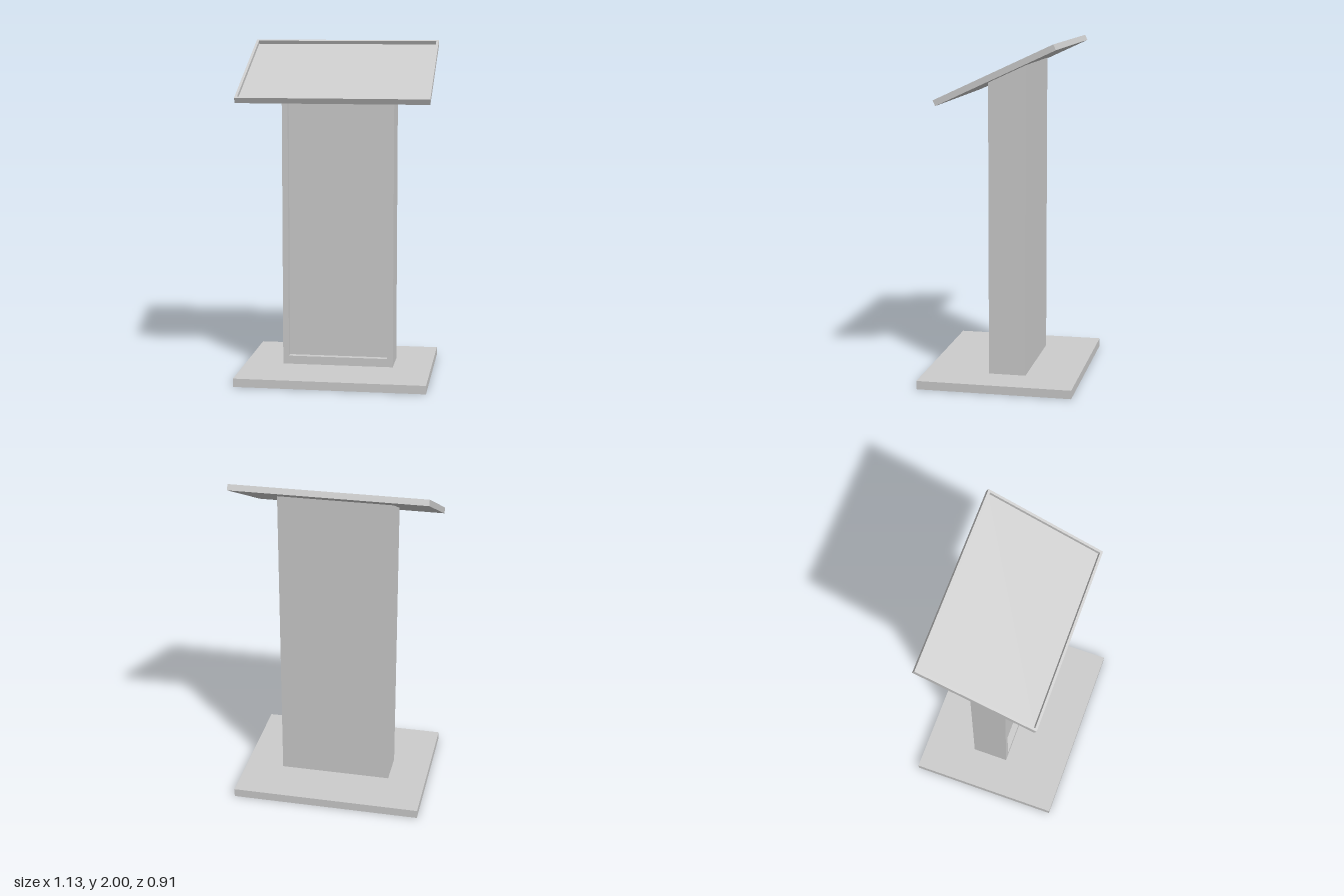
import * as THREE from 'three';

const material = new THREE.MeshStandardMaterial({ color: 0xcccccc });
const TILT = THREE.MathUtils.degToRad(25);
const DESK = { y: 1.826, z: -0.008, width: 1.13, length: 0.753, thickness: 0.035 };

// Height of the sloping desk underside at a given z
const underside = (z) =>
  DESK.y - DESK.thickness / 2 / Math.cos(TILT) - (z - DESK.z) * Math.tan(TILT);

function mesh(name, geometry) {
  const m = new THREE.Mesh(geometry, material);
  m.name = name;
  return m;
}

function rectangle(Type, x0, y0, x1, y1) {
  return new Type().setFromPoints(
    [[x0, y0], [x1, y0], [x1, y1], [x0, y1]].map(([x, y]) => new THREE.Vector2(x, y)));
}

// Slab in the xy plane facing +z, from z0 to z1, with an optional rectangular opening
function slab(x, y0, y1, z0, z1, hole) {
  const shape = rectangle(THREE.Shape, -x, y0, x, y1);
  if (hole) shape.holes.push(rectangle(THREE.Path, -hole.x, hole.y0, hole.x, hole.y1));
  return new THREE.ExtrudeGeometry(shape, { depth: z1 - z0, bevelEnabled: false }).translate(0, 0, z0);
}

// Moves the top edge of a column piece onto the sloping underside
function cutTop(geometry, top) {
  const p = geometry.attributes.position;
  for (let i = 0; i < p.count; i++) {
    if (p.getY(i) > top - 0.001) p.setY(i, underside(p.getZ(i)));
  }
  geometry.computeVertexNormals();
  return geometry;
}

export function createModel() {
  const model = new THREE.Group();
  model.name = 'lectern';

  // Flat foot plate
  const base = mesh('base', new THREE.BoxGeometry(1.13, 0.05, 0.91));
  base.position.y = 0.025;
  model.add(base);

  // Column with a recessed front panel
  const column = new THREE.Group();
  column.name = 'column';
  const top = 1.8;
  column.add(
    mesh('columnBody', cutTop(slab(0.335, 0.05, top, -0.145, 0.037), top)),
    mesh('columnFrame', cutTop(
      slab(0.335, 0.05, top, 0.037, 0.075, { x: 0.3, y0: 0.1, y1: 1.72 }), top)));
  model.add(column);

  // Sloping desk: a shallow tray with a thin rim
  const desk = new THREE.Group();
  desk.name = 'desk';
  const x = DESK.width / 2, y = DESK.length / 2, t = DESK.thickness / 2, rim = 0.015;
  const floor = t - 0.022;
  desk.add(
    mesh('deskBoard', slab(x, -y, y, -t, floor)),
    mesh('deskRim', slab(x, -y, y, floor, t, { x: x - rim, y0: rim - y, y1: y - rim })));
  desk.position.set(0, DESK.y, DESK.z);
  desk.rotation.x = TILT - Math.PI / 2;
  model.add(desk);

  return model;
}
